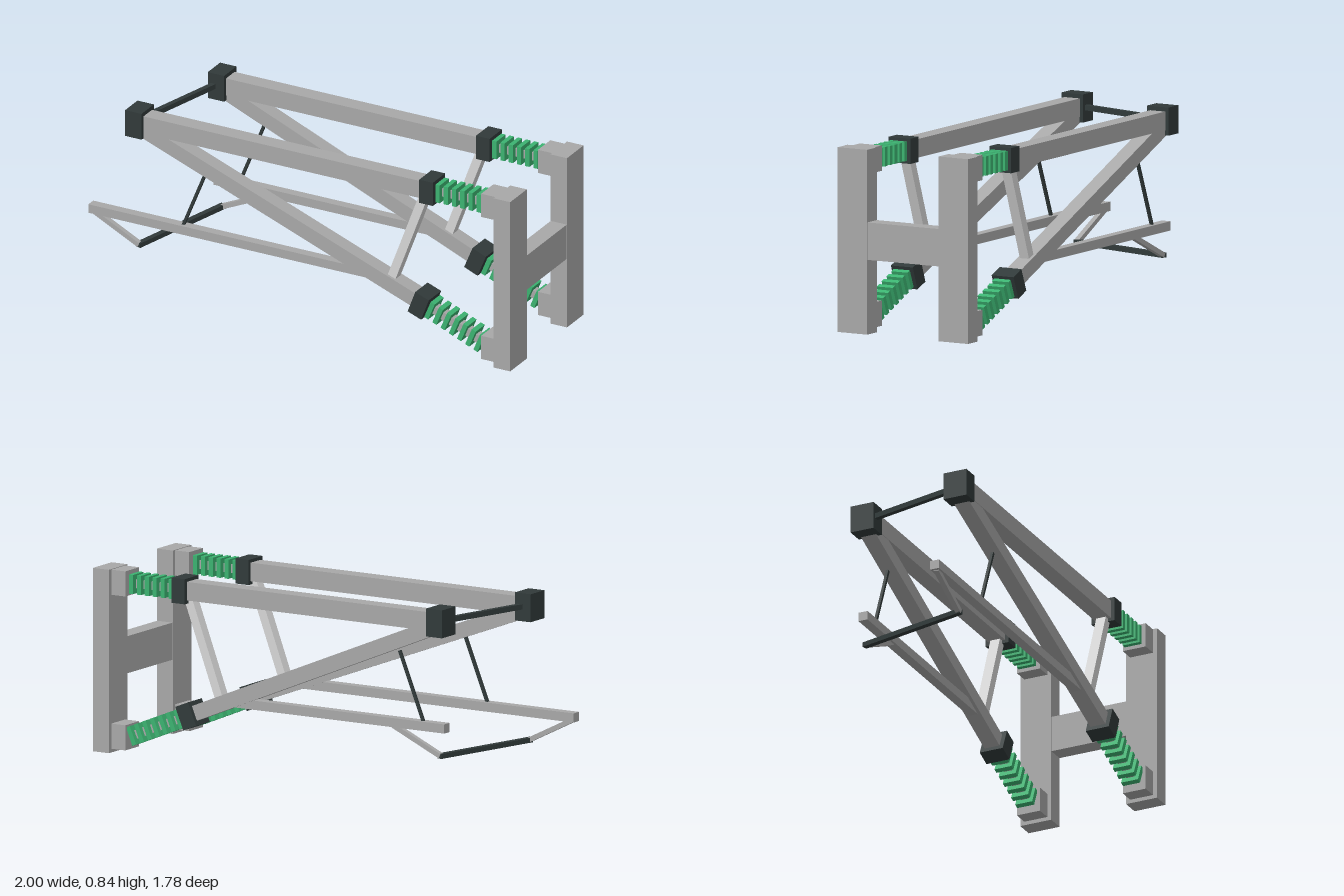
import * as THREE from 'three';

const mat = (name, color) => {
  const m = new THREE.MeshStandardMaterial({ color });
  m.name = name;
  return m;
};

export function createModel() {
  const gray = mat('steel gray', 0xa8a8a8);
  const light = mat('light steel', 0xd6d6d6);
  const dark = mat('dark slate', 0x313a3a);
  const green = mat('spring green', 0x3cb371);

  const root = new THREE.Group();
  root.name = 'liftFrame';
  // frame space: x across the pair of arms, +z out through the mounting plate
  const frame = new THREE.Group();
  frame.name = 'frame';
  frame.position.set(0.7265, 0, 0.6185);
  frame.rotation.y = Math.PI / 4;
  root.add(frame);

  // point on an arm: x across, y up, s = distance away from the plate
  const P = (x, y, s) => new THREE.Vector3(x, y, -s);

  // box of section w x h running from a to b
  const beam = (parent, name, a, b, w, h, material) => {
    const mesh = new THREE.Mesh(new THREE.BoxGeometry(w, h, a.distanceTo(b)), material);
    mesh.name = name;
    mesh.position.copy(a).lerp(b, 0.5);
    mesh.lookAt(b);
    parent.add(mesh);
  };

  // stack of square fins around a thin core
  const spring = (parent, name, a, b, count) => {
    const g = new THREE.Group();
    g.name = name;
    parent.add(g);
    beam(g, 'springCore', a, b, 0.04, 0.04, gray);
    const dir = b.clone().sub(a).normalize().multiplyScalar(0.011);
    for (let i = 0; i < count; i++) {
      const c = a.clone().lerp(b, (i + 0.5) / count);
      beam(g, 'springFin', c.clone().sub(dir), c.clone().add(dir), 0.085, 0.088, green);
    }
  };

  // one arm assembly: tip = end cap distance, legEnd = end of the lower rail
  const arm = (side, x, tip, legEnd, footTop) => {
    const g = new THREE.Group();
    g.name = side + 'Arm';
    frame.add(g);
    const capC = P(x, 0.76, tip);
    const lowA = P(x, 0.075, 0.1175), lowB = P(x, 0.208, 0.44);

    // post with its two spring mounts
    beam(g, 'post', P(x, 0.42, -0.0425), P(x, 0.42, 0.0425), 0.155, 0.84, gray);
    beam(g, 'upperMount', P(x, 0.78, 0.04), P(x, 0.78, 0.1175), 0.115, 0.115, gray);
    beam(g, 'lowerMount', P(x, 0.075, 0.04), P(x, 0.075, 0.1175), 0.115, 0.115, gray);

    // upper beam
    spring(g, 'upperSpring', P(x, 0.778, 0.1175), P(x, 0.778, 0.37), 6);
    beam(g, 'upperCollar', P(x, 0.778, 0.365), P(x, 0.778, 0.435), 0.115, 0.115, dark);
    beam(g, 'upperBeam', P(x, 0.778, 0.43), P(x, 0.778, tip), 0.08, 0.085, gray);
    beam(g, 'endCap', P(x, 0.776, tip - 0.042), P(x, 0.776, tip + 0.042), 0.115, 0.128, dark);

    // sloping lower beam
    const dir = capC.clone().sub(lowB).normalize();
    const along = (d) => lowB.clone().addScaledVector(dir, d);
    spring(g, 'lowerSpring', lowA, along(-0.03), 7);
    beam(g, 'lowerCollar', along(-0.037), along(0.037), 0.115, 0.112, dark);
    beam(g, 'diagonalBeam', along(0.03), capC, 0.075, 0.07, gray);

    // brace, rail, hanger rod and foot arm
    beam(g, 'brace', P(x, 0.745, 0.43), P(x, 0.29, 0.6), 0.048, 0.042, light);
    beam(g, 'rail', P(x, 0.29, 0.61), P(x, 0.29, legEnd), 0.045, 0.042, gray);
    beam(g, 'hangerRod', P(x, 0.62, 1.548), P(x, 0.3, 1.678), 0.013, 0.013, dark);
    beam(g, 'footArm', P(x, 0.275, footTop), P(x, 0.16, tip), 0.024, 0.022, gray);
  };
  arm('right', -0.265, 1.9, 2.15, 2.13);
  arm('left', 0.265, 1.768, 1.8, 1.515);

  // members joining the two arms
  beam(frame, 'plateCrossbar', P(-0.2, 0.425, 0), P(0.2, 0.425, 0), 0.082, 0.17, gray);
  beam(frame, 'tipCrossbar', P(-0.265, 0.778, 1.9), P(0.265, 0.778, 1.768), 0.024, 0.024, dark);
  beam(frame, 'footCrossbar', P(-0.275, 0.16, 1.902), P(0.275, 0.16, 1.766), 0.026, 0.022, dark);

  return root;
}
